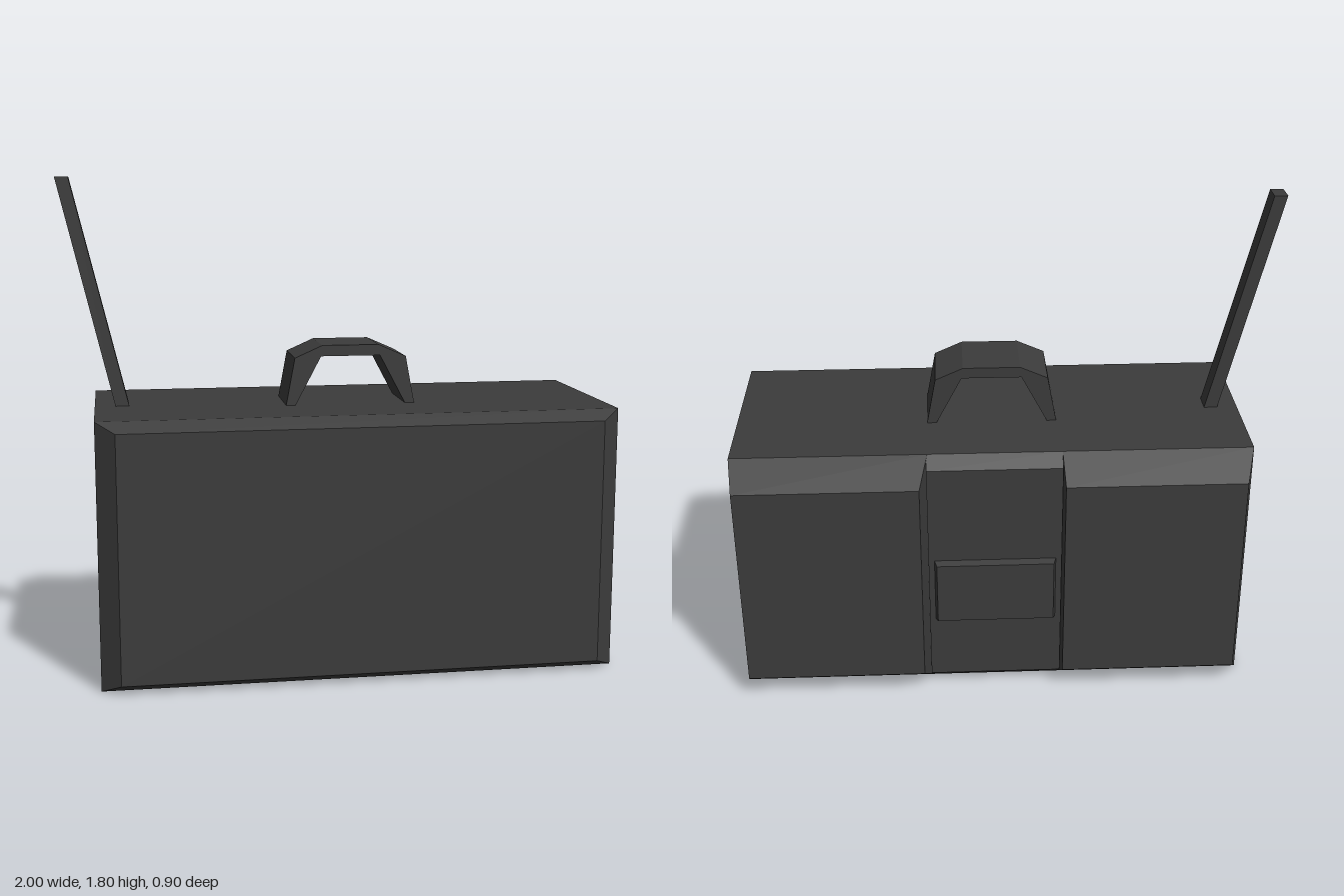
import * as THREE from 'three';

const material = new THREE.MeshStandardMaterial({ color: 0x3c3c3c, flatShading: true });

// Box whose two ends along an axis are separate rectangles:
// a = rectangle at the low end, b = rectangle at the high end, each [u0, u1, v0, v1]
function taperedBox(name, axis, low, high, a, b) {
  const [u, v] = axis === 'z' ? ['x', 'y'] : ['x', 'z'];
  const geometry = new THREE.BoxGeometry(1, 1, 1);
  const pos = geometry.attributes.position;
  const p = new THREE.Vector3();
  for (let i = 0; i < pos.count; i++) {
    p.fromBufferAttribute(pos, i);
    const atHigh = p[axis] > 0;
    const r = atHigh ? b : a;
    p[u] = p[u] > 0 ? r[1] : r[0];
    p[v] = p[v] > 0 ? r[3] : r[2];
    p[axis] = atHigh ? high : low;
    pos.setXYZ(i, p.x, p.y, p.z);
  }
  geometry.computeVertexNormals();
  const mesh = new THREE.Mesh(geometry, material);
  mesh.name = name;
  return mesh;
}

export function createModel() {
  const group = new THREE.Group();
  group.name = 'portableRadio';
  const full = [-0.88, 1, 0, 0.97];

  // Main case with its bevelled front
  group.add(taperedBox('case', 'z', -0.34, 0.39, full, full));
  group.add(taperedBox('frontPanel', 'z', 0.39, 0.45, full, [-0.81, 0.93, 0.035, 0.935]));

  // Two raised blocks on the back with bevelled edges
  group.add(taperedBox('backBlockRight', 'z', -0.455, -0.34,
    [-0.845, -0.195, 0.09, 0.885], [-0.88, -0.19, 0, 0.97]));
  group.add(taperedBox('backBlockLeft', 'z', -0.455, -0.34,
    [0.325, 0.985, 0.09, 0.885], [0.295, 1, 0, 0.97]));

  // Recessed panel between the blocks, with a raised latch
  group.add(taperedBox('recessedPanel', 'z', -0.385, -0.34,
    [-0.19, 0.3, 0.04, 0.925], [-0.19, 0.3, 0, 0.97]));
  group.add(taperedBox('latch', 'z', -0.412, -0.38,
    [-0.16, 0.27, 0.3, 0.54], [-0.17, 0.28, 0.29, 0.55]));

  // Carrying handle: an angular arch extruded along z
  const arch = new THREE.Shape([
    [-0.185, 0.97], [-0.15, 0.97], [-0.055, 1.15], [0.165, 1.15], [0.26, 0.97],
    [0.295, 0.97], [0.262, 1.145], [0.16, 1.19], [-0.05, 1.19], [-0.152, 1.145],
  ].map(([x, y]) => new THREE.Vector2(x, y)));
  const handle = new THREE.Mesh(
    new THREE.ExtrudeGeometry(arch, { depth: 0.24, bevelEnabled: false }), material);
  handle.position.z = -0.095;
  handle.name = 'handle';
  group.add(handle);

  // Leaning square antenna
  group.add(taperedBox('antenna', 'y', 0.97, 1.8,
    [-0.805, -0.755, -0.015, 0.063], [-1, -0.952, -0.015, 0.063]));

  return group;
}
